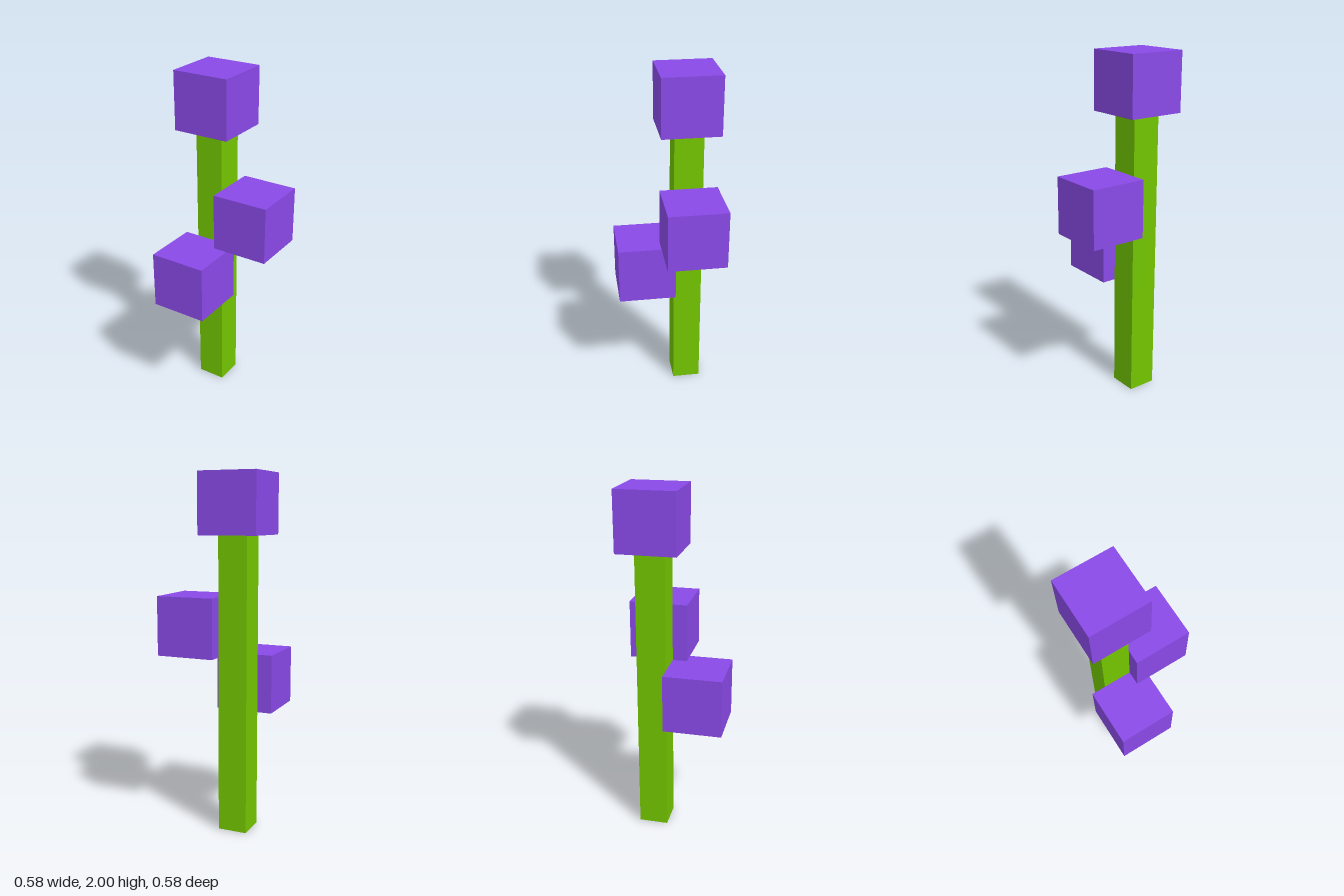
import * as THREE from 'three';

export function createModel() {
  const model = new THREE.Group();
  model.name = 'blockFlower';

  const green = new THREE.MeshStandardMaterial({ color: 0x73c500 });
  green.name = 'stem green';
  const purple = new THREE.MeshStandardMaterial({ color: 0x8b4aea });
  purple.name = 'blossom purple';

  const unit = 1 / 12;
  const stemX = -0.125, stemZ = -0.125;

  // Square stem, ending under the top blossom
  const stemHeight = 20 * unit;
  const stem = new THREE.Mesh(new THREE.BoxGeometry(2 * unit, stemHeight, 2 * unit), green);
  stem.name = 'stem';
  stem.position.set(stemX, stemHeight / 2, stemZ);
  model.add(stem);

  // Cube blossoms: one on top, one on the left side, one in front
  const blossomGeometry = new THREE.BoxGeometry(4 * unit, 4 * unit, 4 * unit);
  const offset = 3 * unit;
  const blossoms = [
    ['topBlossom', 0, 22 * unit, 0],
    ['leftBlossom', offset, 14 * unit, 0],
    ['frontBlossom', 0, 10 * unit, offset],
  ];
  for (const [name, dx, y, dz] of blossoms) {
    const blossom = new THREE.Mesh(blossomGeometry, purple);
    blossom.name = name;
    blossom.position.set(stemX + dx, y, stemZ + dz);
    model.add(blossom);
  }

  return model;
}
